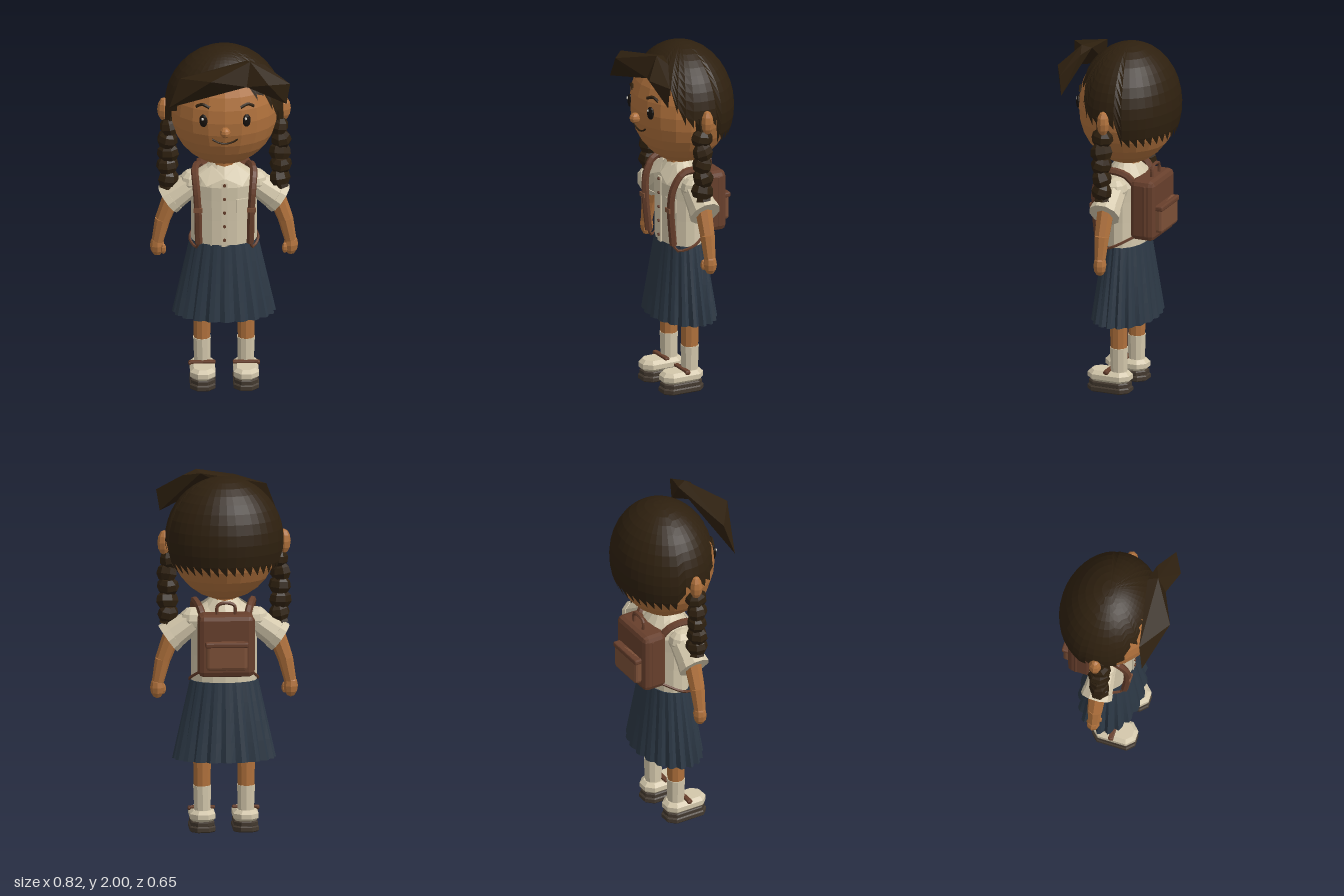
import * as THREE from 'three';
import { RoundedBoxGeometry } from 'three/addons/geometries/RoundedBoxGeometry.js';
import { ConvexGeometry } from 'three/addons/geometries/ConvexGeometry.js';

const mat = (name, color, side = THREE.FrontSide) => {
  const m = new THREE.MeshStandardMaterial({ color, side });
  m.name = name;
  return m;
};
const V = (x, y, z) => new THREE.Vector3(x, y, z);

export function createModel() {
  const skin = mat('skin', 0xb0713c);
  const hair = mat('darkHair', 0x2e200f, THREE.DoubleSide);
  const cream = mat('creamCotton', 0xd3c7ab, THREE.DoubleSide);
  const navy = mat('navyCloth', 0x2c3845, THREE.DoubleSide);
  const leather = mat('brownLeather', 0x673f2c);
  const tan = mat('lightLeather', 0x7b4f37);
  const rubber = mat('soleRubber', 0x43392f);
  const ink = mat('eyeBlack', 0x17120e);
  const white = mat('eyeGlint', 0xf4efe4);

  const model = new THREE.Group();
  model.name = 'schoolgirl';

  // Adds a faceted mesh
  const add = (name, geo, material, x = 0, y = 0, z = 0) => {
    const g = geo.index ? geo.toNonIndexed() : geo;
    g.computeVertexNormals();
    const mesh = new THREE.Mesh(g, material);
    mesh.name = name;
    mesh.position.set(x, y, z);
    model.add(mesh);
    return mesh;
  };
  const ball = (rx, ry, rz, w = 10, h = 7) => new THREE.SphereGeometry(1, w, h).scale(rx, ry, rz);
  const limb = (name, a, b, ra, rb, n, material) => {
    const d = b.clone().sub(a);
    const mesh = add(name, new THREE.CylinderGeometry(rb, ra, d.length(), n), material);
    mesh.position.copy(a).add(b).multiplyScalar(0.5);
    mesh.quaternion.setFromUnitVectors(V(0, 1, 0), d.normalize());
    return mesh;
  };
  const tube = (name, pts, r, material, seg = 12, n = 6) =>
    add(name, new THREE.TubeGeometry(new THREE.CatmullRomCurve3(pts), seg, r, n), material);
  // Flat slab with cut corners and a bevelled rim, rising from y = 0
  const slab = (w, d, h, cut, bevel) => {
    const a = w / 2 - bevel, b = d / 2 - bevel;
    const shape = new THREE.Shape([[a, b - cut], [a - cut, b], [cut - a, b], [-a, b - cut],
      [-a, cut - b], [cut - a, -b], [a - cut, -b], [a, cut - b]].map(p => new THREE.Vector2(...p)));
    return new THREE.ExtrudeGeometry(shape, { depth: h - 2 * bevel, bevelSize: bevel, bevelThickness: bevel, bevelSegments: 1 })
      .rotateX(-Math.PI / 2).translate(0, bevel, 0);
  };

  // Head and face
  const HY = 1.645, HZ = -0.04;
  const faceZ = (x, y) => HZ + 0.275 * Math.sqrt(1 - (x / 0.305) ** 2 - ((y - HY) / 0.335) ** 2);
  const onFace = (x, y, out = 0.002) => V(x, y, faceZ(x, y) + out);
  add('head', ball(0.305, 0.335, 0.275, 20, 14), skin, 0, HY, HZ);
  add('nose', ball(0.03, 0.03, 0.035, 8, 6), skin, 0, 1.6, 0.243);
  tube('mouth', [-0.07, -0.04, 0, 0.04, 0.07].map(x => onFace(x, 1.523 + 5.5 * x * x)), 0.005, hair);
  add('neck', new THREE.CylinderGeometry(0.07, 0.075, 0.14, 10), skin, 0, 1.29, -0.03);

  // Hair cap whose lower edge changes around the head
  const cols = 40;
  const cap = new THREE.SphereGeometry(1, cols, 12);
  const hairline = [[0, 1.87], [25, 1.85], [36, 1.76], [46, 1.78], [54, 1.68], [62, 1.62], [72, 1.6], [100, 1.6], [108, 1.48], [181, 1.48]];
  const cp = cap.attributes.position;
  for (let i = 0; i < cp.count; i++) {
    const phi = (i % (cols + 1)) / cols * Math.PI * 2;
    const az = Math.acos(THREE.MathUtils.clamp(Math.sin(phi), -1, 1)) * 180 / Math.PI;
    const k = Math.max(1, hairline.findIndex(h => h[0] > az));
    const [a0, y0] = hairline[k - 1], [a1, y1] = hairline[k];
    const y = y0 + (y1 - y0) * (az - a0) / (a1 - a0);
    const t = Math.floor(i / (cols + 1)) / 12 * Math.acos((y - HY) / 0.355);
    cp.setXYZ(i, -0.33 * Math.cos(phi) * Math.sin(t), 0.355 * Math.cos(t), 0.282 * Math.sin(phi) * Math.sin(t));
  }
  add('hairCap', cap, hair, 0, HY, -0.045);

  // Swept fringe: a long blade and a short blade
  const knot = [V(0.12, 1.985, 0.13), V(0.14, 2, 0.185), V(0.12, 1.87, 0.235)];
  add('longFringe', new ConvexGeometry([...knot, V(-0.25, 1.91, 0.2), V(-0.31, 1.75, 0.235), V(-0.08, 1.94, 0.325), V(0, 1.84, 0.24)]), hair);
  add('shortFringe', new ConvexGeometry([...knot, V(0.22, 1.97, 0.155), V(0.36, 1.88, 0.22), V(0.34, 1.76, 0.22), V(0.24, 1.9, 0.285)]), hair);

  // Shirt
  const torso = [[0.182, 0.84], [0.182, 1], [0.185, 1.12], [0.19, 1.2], [0.165, 1.25], [0.09, 1.3], [0.06, 1.3]];
  add('shirtBody', new THREE.LatheGeometry(torso.map(p => new THREE.Vector2(...p)), 16).scale(1, 1, 0.64), cream, 0, 0, -0.03);
  add('collarBand', new THREE.CylinderGeometry(0.075, 0.135, 0.07, 14, 1, true).scale(1, 1, 0.85), cream, 0, 1.285, -0.03);
  add('placket', new THREE.BoxGeometry(0.035, 0.38, 0.008), cream, 0, 1.04, 0.089);
  for (let i = 0; i < 5; i++)
    add('button', new THREE.CylinderGeometry(0.009, 0.009, 0.009, 8).rotateX(Math.PI / 2), leather, 0, 0.89 + i * 0.082, 0.096);
  const pocket = add('shirtPocket', new THREE.BoxGeometry(0.075, 0.08, 0.009), cream, 0.1, 1.09, 0.075);
  pocket.rotation.y = 0.38;

  // Pleated skirt
  const skirt = new THREE.CylinderGeometry(0.19, 0.288, 0.44, 60, 4, true);
  const sp = skirt.attributes.position;
  for (let i = 0; i < sp.count; i++) {
    const down = 0.5 - sp.getY(i) / 0.44;
    const f = 1 - [0, 0.02, 0.09][(i % 61) % 3] * (0.3 + 0.7 * down);
    sp.setXYZ(i, sp.getX(i) * f, sp.getY(i), sp.getZ(i) * f * 0.635);
  }
  add('skirt', skirt, navy, 0, 0.635, -0.033);
  add('waistTop', new THREE.CylinderGeometry(0.186, 0.188, 0.02, 24).scale(1, 1, 0.635), navy, 0, 0.845, -0.033);

  // Paired parts
  for (const s of [-1, 1]) {
    const P = (x, y, z) => V(s * x, y, z);

    add('eye', ball(0.024, 0.038, 0.013), ink, s * 0.12, 1.66, faceZ(0.12, 1.66)).rotation.y = s * 0.35;
    add('eyeGlint', ball(0.007, 0.009, 0.004, 6, 4), white, s * 0.12 - 0.005, 1.675, faceZ(0.12, 1.675) + 0.014);
    tube('eyebrow', [[0.085, 1.738], [0.125, 1.752], [0.16, 1.735]].map(p => onFace(s * p[0], p[1])), 0.009, hair, 8, 5);
    add('ear', ball(0.038, 0.07, 0.036, 8, 6), skin, s * 0.332, 1.63, -0.03);

    // Braid: stacked faceted lumps with a small tail
    limb('braidRoot', P(0.3, 1.5, -0.02), P(0.3, 1.66, 0.0), 0.035, 0.03, 6, hair);
    for (let i = 0; i < 5; i++) {
      const lump = [[0, -0.046], [0.04, -0.044], [0.056, -0.012], [0.05, 0.022], [0.03, 0.046], [0, 0.046]];
      const m = add('braidLump', new THREE.LatheGeometry(lump.map(p => new THREE.Vector2(...p)), 7).scale(1, 1, 1.15),
        hair, s * (0.302 + [0, 0.012, 0.008, 0.012, 0.006][i]), 1.535 - i * 0.077, -0.012);
      m.rotation.set(i % 2 ? 0.15 : -0.15, i * 0.6, s * (i % 2 ? 0.18 : -0.18));
    }
    limb('braidTail', P(0.318, 1.17, -0.015), P(0.308, 1.23, -0.012), 0.045, 0.028, 6, hair);

    // Collar flap
    add('collarFlap', new ConvexGeometry([P(0.004, 1.255, 0.088), P(0.1, 1.215, 0.1), P(0.14, 1.265, 0.05),
      P(0.07, 1.315, 0.03), P(0.004, 1.27, 0.075), P(0.09, 1.222, 0.08)]), cream);

    // Arm, sleeve and hand
    add('shoulder', ball(0.075, 0.07, 0.075, 10, 6), cream, s * 0.175, 1.195, -0.03);
    limb('sleeve', P(0.17, 1.19, -0.03), P(0.295, 1.1, -0.028), 0.068, 0.084, 10, cream);
    limb('sleeveCuff', P(0.28, 1.111, -0.028), P(0.312, 1.088, -0.028), 0.085, 0.09, 10, cream);
    limb('upperArm', P(0.285, 1.12, -0.028), P(0.34, 0.97, -0.027), 0.05, 0.043, 8, skin);
    limb('forearm', P(0.34, 0.97, -0.027), P(0.368, 0.84, -0.027), 0.043, 0.033, 8, skin);
    add('hand', ball(0.04, 0.062, 0.038, 8, 6), skin, s * 0.37, 0.813, -0.028);
    add('thumb', ball(0.016, 0.032, 0.018, 6, 5), skin, s * 0.336, 0.8, -0.005);

    // Leg, sock and shoe
    limb('leg', P(0.122, 0.2, -0.033), P(0.122, 0.62, -0.033), 0.046, 0.056, 10, skin);
    limb('sock', P(0.12, 0.09, -0.033), P(0.122, 0.26, -0.033), 0.046, 0.051, 10, cream);
    add('shoeSole', slab(0.142, 0.25, 0.034, 0.035, 0.007), rubber, s * 0.12, 0, 0.02);
    add('shoeWelt', slab(0.132, 0.236, 0.03, 0.035, 0.006), rubber, s * 0.12, 0.03, 0.02);
    add('shoeUpper', slab(0.14, 0.248, 0.066, 0.03, 0.02), cream, s * 0.12, 0.055, 0.02);
    add('shoeStrap', new RoundedBoxGeometry(0.145, 0.016, 0.028, 1, 0.005), leather, s * 0.12, 0.126, 0.015);
    add('strapButton', ball(0.01, 0.014, 0.018, 6, 5), leather, s * 0.19, 0.122, 0.015);

    // Shoulder straps of the bag
    tube('shoulderStrap', [P(0.115, 1.2, -0.14), P(0.14, 1.275, -0.08), P(0.163, 1.29, 0.03), P(0.156, 1.2, 0.09),
      P(0.148, 1.08, 0.1), P(0.143, 0.87, 0.082)], 0.021, leather, 22);
    tube('lowerStrap', [P(0.143, 0.875, 0.085), P(0.155, 0.835, 0.06), P(0.19, 0.86, -0.02), P(0.13, 0.93, -0.15)], 0.008, leather, 12, 5);
    add('strapBuckle', new THREE.BoxGeometry(0.05, 0.025, 0.009), tan, s * 0.148, 1.08, 0.119);
  }

  // Backpack
  add('bagBody', new RoundedBoxGeometry(0.31, 0.35, 0.145, 1, 0.03), leather, 0, 1.08, -0.18);
  add('bagSeam', new RoundedBoxGeometry(0.318, 0.3, 0.02, 1, 0.008), leather, 0, 1.08, -0.2);
  add('bagPocket', new RoundedBoxGeometry(0.23, 0.16, 0.06, 1, 0.018), tan, 0, 1.03, -0.26);
  add('pocketFlap', new RoundedBoxGeometry(0.24, 0.03, 0.064, 1, 0.008), leather, 0, 1.095, -0.262);
  tube('bagHandle', [V(-0.05, 1.24, -0.2), V(-0.048, 1.3, -0.2), V(-0.025, 1.315, -0.2), V(0.025, 1.315, -0.2),
    V(0.048, 1.3, -0.2), V(0.05, 1.24, -0.2)], 0.01, leather, 20);

  return model;
}
